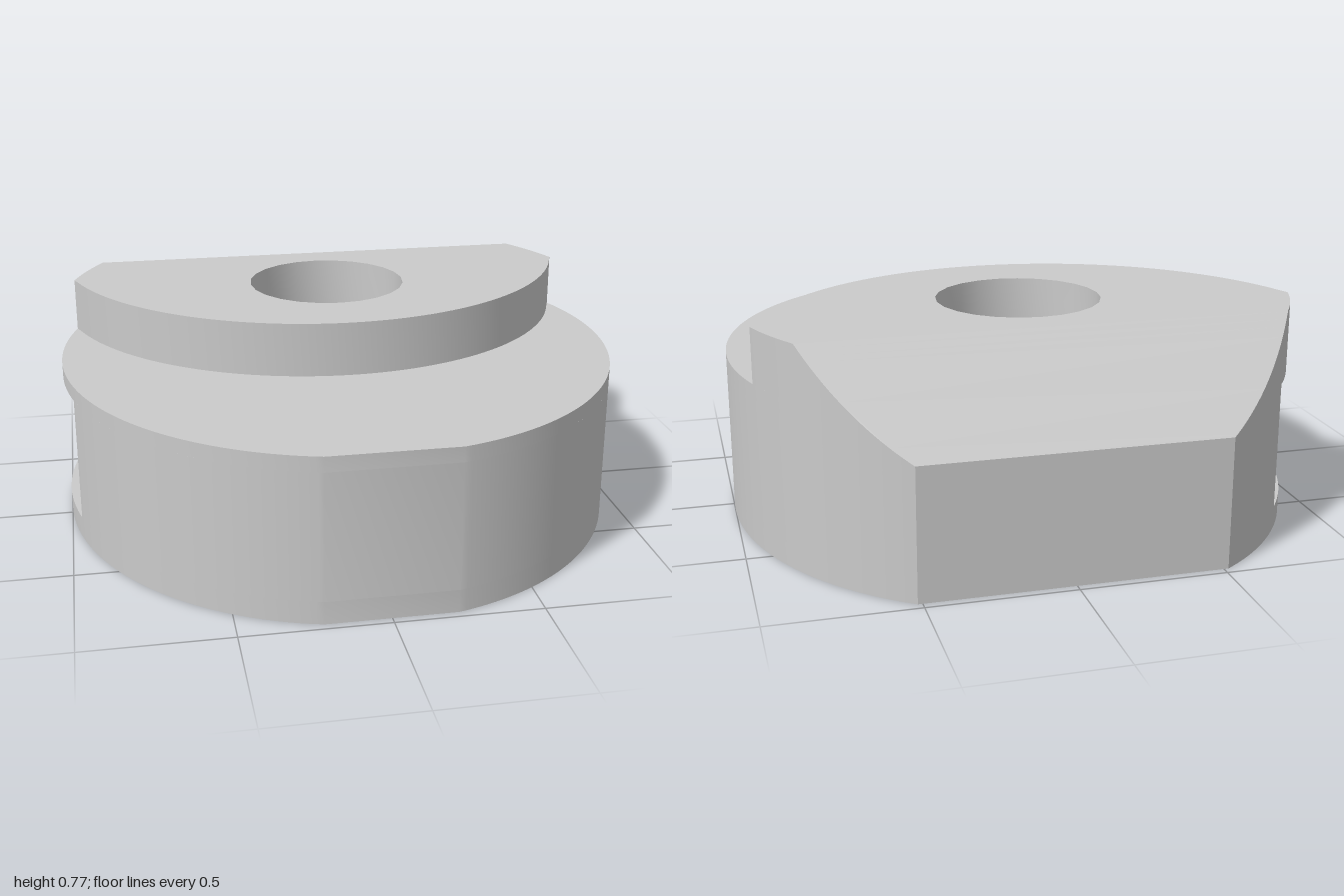
import * as THREE from 'three';
import { toCreasedNormals } from 'three/addons/utils/BufferGeometryUtils.js';

// Plan outline: an ellipse with a flat at the front and a flat at the back.
const FRONT = 0.972, BACK = -0.972, MID_Z = -0.063, SEMI_Z = 1.061;
const HOLE_Z = -0.245, HOLE_R = 0.289;
const SLOT_BACK = -0.70, SLOT_FRONT = 0.22, CREASE = -0.655;
const FLOOR = 0.08, CEILING = 0.525, STEP = 0.578, TOP = 0.77;

// Points [x, z] on one side of the ellipse, running from z0 to z1.
function side(z0, z1, sign = 1, n = 72) {
  const a = Math.asin((z0 - MID_Z) / SEMI_Z);
  const b = Math.asin((z1 - MID_Z) / SEMI_Z);
  return Array.from({ length: n + 1 }, (_, i) => {
    const t = a + (b - a) * i / n;
    return [sign * Math.cos(t), MID_Z + SEMI_Z * Math.sin(t)];
  });
}

// Slice of the ellipse between two z values.
const slice = (z0, z1) => [...side(z0, z1), ...side(z1, z0, -1)];

// Upright prism over a plan outline, with an optional bore and sloped top.
function prism(points, y0, y1, { bore = false, slope = false } = {}) {
  const shape = new THREE.Shape(points.map(([x, z]) => new THREE.Vector2(x, -z)));
  if (bore) {
    // Outlines run clockwise, so the bore runs the other way
    const hole = new THREE.Path();
    hole.absarc(0, -HOLE_Z, HOLE_R, 0, Math.PI * 2, false);
    shape.holes.push(hole);
  }
  const geo = new THREE.ExtrudeGeometry(shape, { depth: y1 - y0, bevelEnabled: false, curveSegments: 12 });
  geo.rotateX(-Math.PI / 2);
  geo.translate(0, y0, 0);
  if (slope) {
    // The top follows the 45 degree chamfer plane.
    const p = geo.attributes.position;
    for (let i = 0; i < p.count; i++) {
      if (p.getY(i) > y0 + 0.001) p.setY(i, p.getZ(i) + TOP - CREASE);
    }
  }
  return toCreasedNormals(geo, 0.45);
}

export function createModel() {
  const group = new THREE.Group();
  const grey = new THREE.MeshStandardMaterial({ color: 0xcacaca });
  grey.name = 'plain grey';
  const add = (name, geo) => {
    const mesh = new THREE.Mesh(geo, grey);
    mesh.name = name;
    group.add(mesh);
  };

  // Back block and the strip above the slot, both under the chamfer
  add('chamferedBack', prism(slice(BACK, SLOT_BACK), 0, 1, { slope: true }));
  add('chamferStrip', prism(slice(SLOT_BACK, CREASE), CEILING, 1, { slope: true }));

  // Floor below the side slot
  add('floor', prism(slice(SLOT_BACK, FRONT), 0, FLOOR, { bore: true }));

  // Walls around the side slot, which has a pointed inner end
  const mid = (SLOT_BACK + SLOT_FRONT) / 2;
  const half = (SLOT_FRONT - SLOT_BACK) / 2;
  add('slotWalls', prism([
    ...side(SLOT_BACK, FRONT),
    ...side(FRONT, SLOT_FRONT, -1),
    [half / Math.sqrt(3), SLOT_FRONT],
    [2 * half / Math.sqrt(3), mid],
    [half / Math.sqrt(3), SLOT_BACK],
  ], FLOOR, CEILING));

  // Roof of the slot, forming the lower step
  add('stepPlate', prism(slice(CREASE, FRONT), CEILING, STEP, { bore: true }));

  // Raised pad with a round front edge
  const padZ = -0.70, padR = 0.98, joinZ = -0.42;
  const start = Math.asin((joinZ - padZ) / padR);
  const arc = [];
  for (let i = 1; i < 64; i++) {
    const t = start + (Math.PI - 2 * start) * i / 64;
    arc.push([padR * Math.cos(t), padZ + padR * Math.sin(t)]);
  }
  add('raisedPad', prism(
    [...side(CREASE, joinZ, 1, 10), ...arc, ...side(joinZ, CREASE, -1, 10)],
    STEP, TOP, { bore: true }));

  return group;
}
